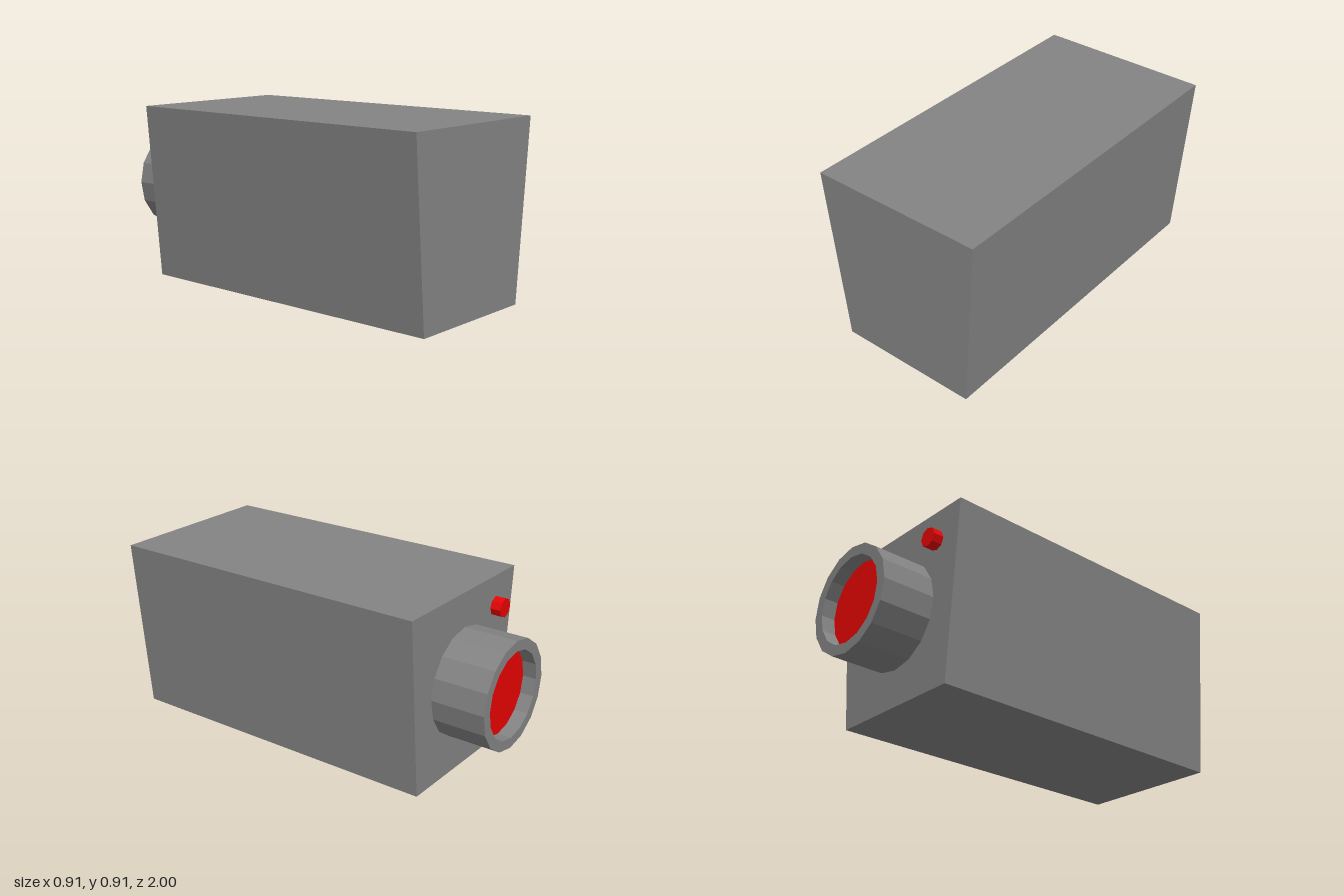
import * as THREE from 'three';

const BACK = -0.725; // rear face of the housing

export function createModel() {
  const model = new THREE.Group();
  const grey = new THREE.MeshStandardMaterial({ color: 0x838383, flatShading: true });
  const greyOpen = new THREE.MeshStandardMaterial({ color: 0x838383, flatShading: true, side: THREE.DoubleSide });
  const red = new THREE.MeshStandardMaterial({ color: 0xe60303, flatShading: true });

  function add(name, geometry, material, x, y, z) {
    const mesh = new THREE.Mesh(geometry, material);
    mesh.name = name;
    mesh.position.set(x, y, z);
    model.add(mesh);
    return mesh;
  }

  // Housing: trapezoid section, wider at the top
  const section = new THREE.Shape([
    new THREE.Vector2(-0.372, 0),
    new THREE.Vector2(0.372, 0),
    new THREE.Vector2(0.453, 0.908),
    new THREE.Vector2(-0.453, 0.908),
  ]);
  const housing = new THREE.ExtrudeGeometry(section, { depth: 1 - BACK, bevelEnabled: false });
  add('housing', housing, grey, 0, 0, BACK);

  // Lens barrel: 16-sided tube with a recessed bore
  const outer = 0.273, inner = 0.22, length = 1 + BACK, recess = 0.07;
  const profile = [
    [outer, 0], [outer, length], [inner, length], [inner, length - recess],
  ].map(([r, h]) => new THREE.Vector2(r, h));
  const barrel = add('lensBarrel', new THREE.LatheGeometry(profile, 16), greyOpen, 0, 0.459, BACK);
  barrel.rotation.x = -Math.PI / 2;

  // Lens glass at the bottom of the bore, facing backwards
  const lens = add('lens', new THREE.CircleGeometry(inner, 16), red, 0, 0.459, -1 + recess);
  lens.rotation.y = Math.PI;

  // Small indicator light on the rear face
  const light = add('indicatorLight', new THREE.CylinderGeometry(0.049, 0.049, 0.054, 8), red,
    -0.284, 0.75, BACK - 0.027);
  light.rotation.x = -Math.PI / 2;

  return model;
}
